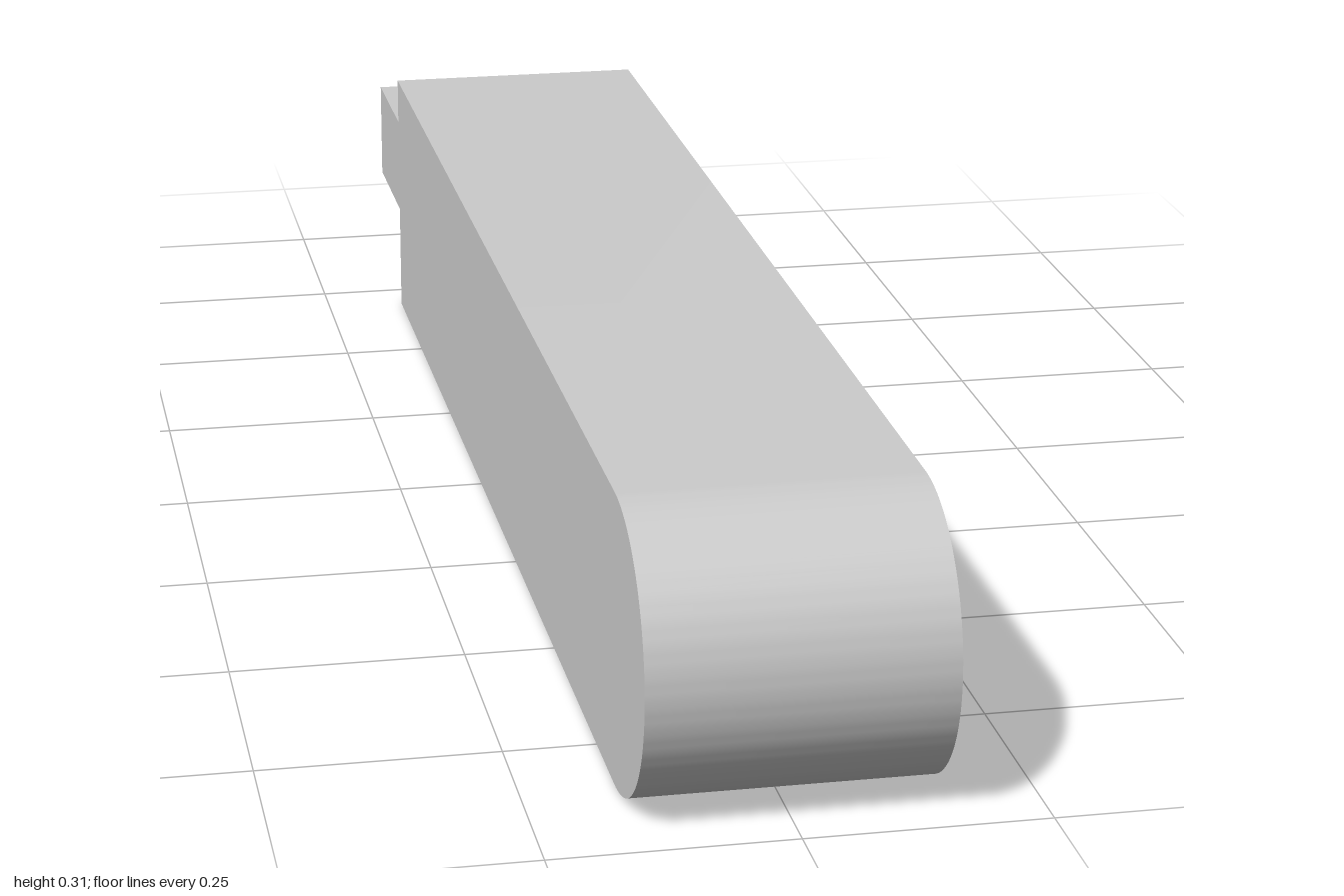
import * as THREE from 'three';
import { toCreasedNormals } from 'three/addons/utils/BufferGeometryUtils.js';

export function createModel() {
  const group = new THREE.Group();
  const material = new THREE.MeshStandardMaterial({ color: 0xcccccc });
  const width = 0.308, radius = width / 2, back = -0.69;

  // Square bar with a half-round front end: side profile extruded across x
  const profile = new THREE.Shape();
  profile.moveTo(back, 0);
  profile.lineTo(1 - radius, 0);
  profile.absarc(1 - radius, radius, radius, -Math.PI / 2, Math.PI / 2, false);
  profile.lineTo(back, width);
  profile.closePath();
  const barGeometry = new THREE.ExtrudeGeometry(profile, {
    depth: width, bevelEnabled: false, curveSegments: 32,
  });
  barGeometry.translate(0, 0, -width / 2).rotateY(-Math.PI / 2);
  const bar = new THREE.Mesh(toCreasedNormals(barGeometry, 0.4), material);
  bar.name = 'roundedBar';
  group.add(bar);

  // Flat tongue projecting from the back end
  const length = 1 + back;
  const tongue = new THREE.Mesh(new THREE.BoxGeometry(0.274, 0.123, length), material);
  tongue.position.set(0, radius, -1 + length / 2);
  tongue.name = 'backTongue';
  group.add(tongue);

  return group;
}
